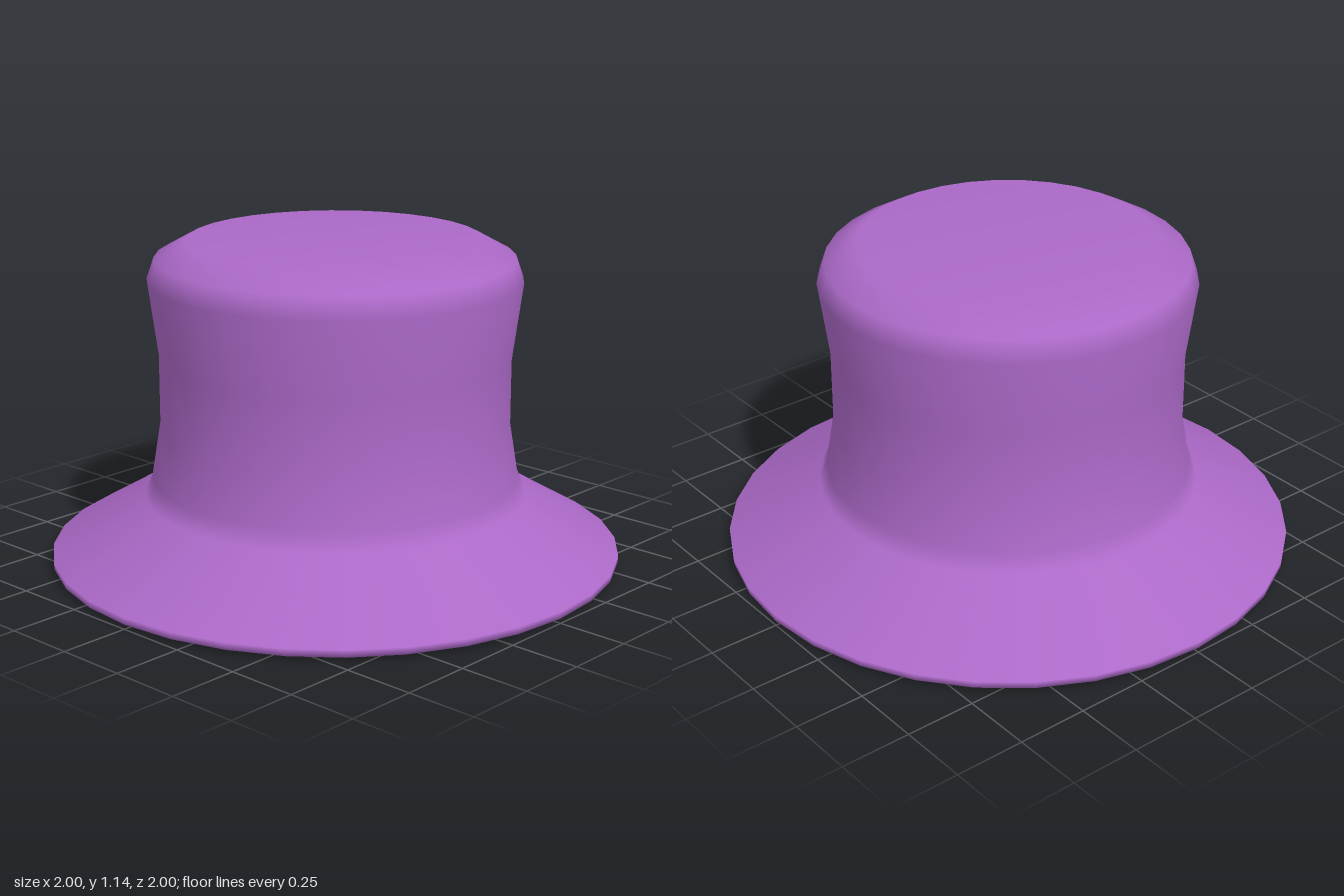
import * as THREE from 'three';

const SIDES = 32;

// Smooth surface of revolution from [radius, height] pairs
function turned(name, profile, material) {
  const points = profile.map(([r, y]) => new THREE.Vector2(r, y));
  const mesh = new THREE.Mesh(new THREE.LatheGeometry(points, SIDES), material);
  mesh.name = name;
  return mesh;
}

export function createModel() {
  const felt = new THREE.MeshStandardMaterial({ color: 0xac69c8 });
  felt.name = 'purple felt';
  const lining = new THREE.MeshStandardMaterial({ color: 0xdddd10 });
  lining.name = 'yellow lining';

  const hat = new THREE.Group();
  hat.name = 'topHat';

  // Outside: rolled brim edge, sloping brim, waisted crown, rounded top
  hat.add(turned('outerShell', [
    [0.925, 0.004], [0.965, 0], [0.998, 0.015], [1, 0.04],
    [0.67, 0.235], [0.643, 0.3], [0.612, 0.49], [0.612, 0.73],
    [0.648, 1.0], [0.622, 1.075], [0.51, 1.137], [0, 1.137],
  ], felt));

  // Inside, from the ceiling down to the brim underside (faces inward)
  hat.add(turned('innerLining', [
    [0, 1.07], [0.49, 1.07], [0.575, 1.03], [0.59, 0.98],
    [0.57, 0.73], [0.57, 0.49], [0.575, 0.25], [0.585, 0.15],
    [0.64, 0.105], [0.925, 0.004],
  ], lining));

  return hat;
}
